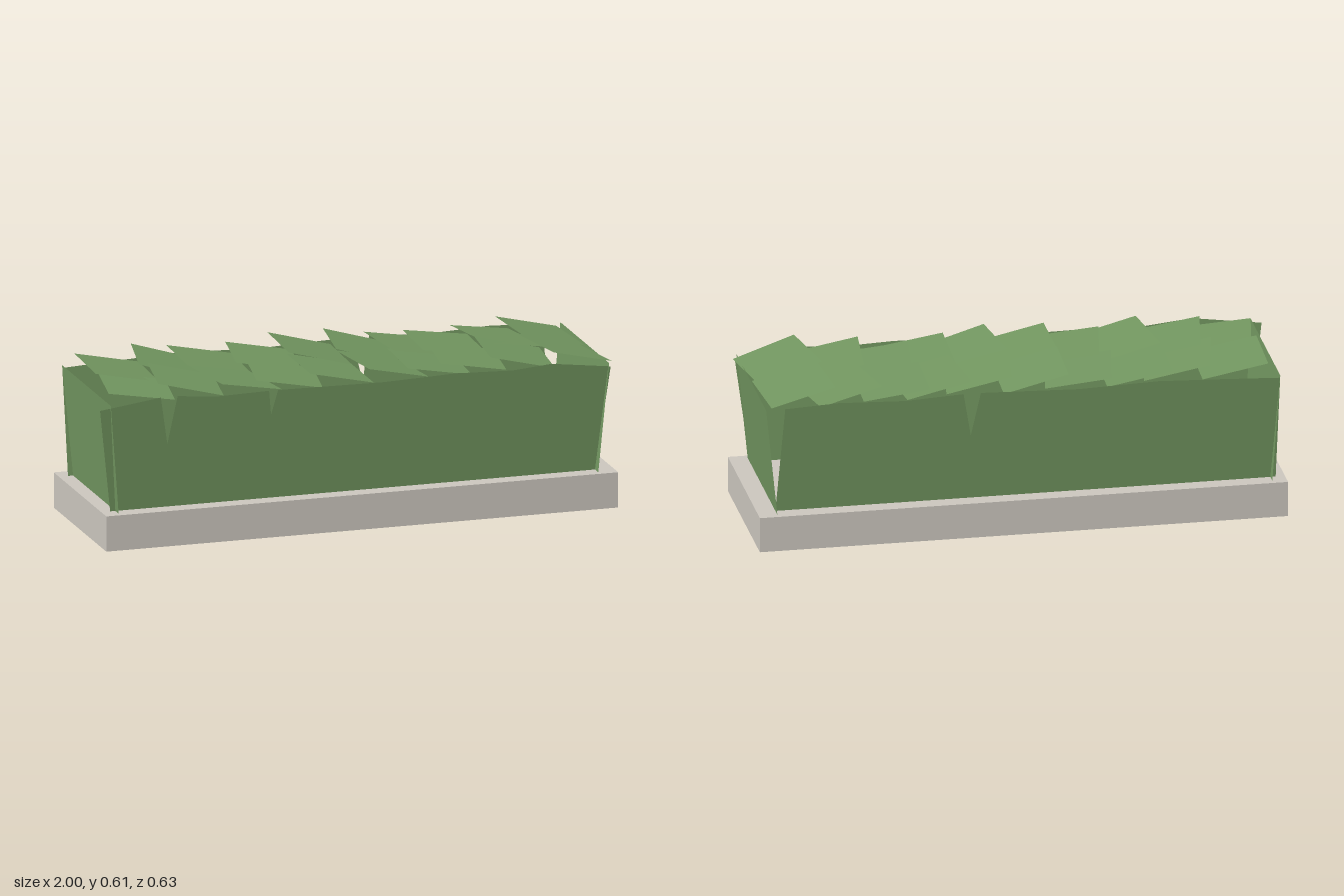
import * as THREE from 'three';

export function createModel() {
  const model = new THREE.Group();
  const leaf = new THREE.MeshStandardMaterial({ name: 'hedge green', color: 0x71955f, side: THREE.DoubleSide });
  const stone = new THREE.MeshStandardMaterial({ name: 'planter stone', color: 0xcac5bd });

  function add(name, geometry, material, parent = model) {
    const mesh = new THREE.Mesh(geometry, material);
    mesh.name = name;
    parent.add(mesh);
    return mesh;
  }

  // Stone base
  const BASE = 0.135, TOP = 0.55;
  add('base', new THREE.BoxGeometry(1.985, BASE, 0.635), stone).position.set(0.0075, BASE / 2, 0);

  // Long hedge wall: an outline in x/y that leans outward towards the top
  function longWall(name, outline, zBottom, zTop) {
    const shape = new THREE.Shape(outline.map(([x, y]) => new THREE.Vector2(x, y)));
    const geometry = new THREE.ShapeGeometry(shape);
    const p = geometry.attributes.position;
    for (let i = 0; i < p.count; i++) {
      const t = (p.getY(i) - BASE) / (TOP - BASE);
      p.setZ(i, zBottom + (zTop - zBottom) * t);
    }
    // Turn the back wall's faces outward
    if (zTop < 0) {
      const index = geometry.index.array;
      for (let i = 0; i < index.length; i += 3) [index[i], index[i + 1]] = [index[i + 1], index[i]];
    }
    geometry.computeVertexNormals();
    add(name, geometry, leaf);
  }
  longWall('frontHedgeWall', [
    [-0.95, BASE], [0.93, BASE], [0.98, 0.535], [0.75, 0.565], [0.6, 0.552], [0.38, 0.56], [0.1, 0.55],
    [-0.31, 0.555], [-0.335, 0.46], [-0.345, 0.555], [-0.55, 0.55], [-0.7, 0.565], [-0.735, 0.38],
    [-0.765, 0.565], [-0.91, 0.545], [-1, 0.533],
  ], 0.255, 0.29);
  longWall('backHedgeWall', [
    [-0.95, BASE], [0.93, BASE], [0.9, 0.55], [0.7, 0.56], [0.45, 0.55], [0.23, 0.562], [0.2, 0.39],
    [0.165, 0.562], [-0.2, 0.55], [-0.5, 0.56], [-0.75, 0.55], [-0.96, 0.54],
  ], -0.255, -0.293);

  // End hedge walls, leaning outward
  for (const [name, side, xBottom, xTop] of [
    ['leftHedgeEnd', 1, 0.93, 0.972],
    ['rightHedgeEnd', -1, 0.93, 0.96],
  ]) {
    const geometry = new THREE.PlaneGeometry(0.59, TOP - BASE);
    geometry.rotateY(side * Math.PI / 2);
    const p = geometry.attributes.position;
    for (let i = 0; i < p.count; i++) {
      p.setX(i, side * (p.getY(i) > 0 ? xTop : xBottom));
    }
    geometry.translate(0, (TOP + BASE) / 2, 0);
    geometry.computeVertexNormals();
    add(name, geometry, leaf);
  }

  // Overlapping top leaves: [left edge x at back, left edge x at front, back z, left edge height]
  const backRow = [
    [-0.92, -0.93, -0.28, 0.595], [-0.70, -0.76, -0.30, 0.61], [-0.56, -0.57, -0.29, 0.594],
    [-0.33, -0.38, -0.30, 0.585], [-0.17, -0.18, -0.29, 0.61], [0.04, 0.0, -0.28, 0.61],
    [0.19, 0.22, -0.25, 0.592], [0.35, 0.34, -0.27, 0.58], [0.52, 0.58, -0.24, 0.592], [0.70, 0.72, -0.25, 0.607],
  ];
  const frontRow = [
    [-0.90, -0.95, -0.06, 0.578], [-0.71, -0.76, -0.06, 0.6], [-0.57, -0.53, 0.0, 0.595],
    [-0.33, -0.38, -0.05, 0.583], [-0.18, -0.18, -0.02, 0.6], [0.0, 0.04, 0.0, 0.604],
    [0.21, 0.20, -0.02, 0.588], [0.38, 0.34, -0.07, 0.582], [0.55, 0.52, -0.03, 0.6], [0.70, 0.75, 0.01, 0.61],
  ];
  const WIDTH = 0.25, DEPTH = 0.29;
  const top = new THREE.Group();
  top.name = 'hedgeTop';
  model.add(top);
  const leafGeometry = new THREE.PlaneGeometry(WIDTH, DEPTH).rotateX(-Math.PI / 2);
  for (const row of [backRow, frontRow]) {
    for (const [xBack, xFront, zBack, height] of row) {
      const mesh = add('topLeaf', leafGeometry, leaf, top);
      const yaw = (xFront - xBack) / DEPTH;
      const low = 0.546;
      mesh.position.set((xBack + xFront + WIDTH) / 2, (height + low) / 2, zBack + DEPTH / 2 - Math.sin(yaw) * WIDTH / 2);
      mesh.rotation.set(0, yaw, -Math.asin((height - low) / WIDTH), 'YXZ');
    }
  }
  return model;
}
